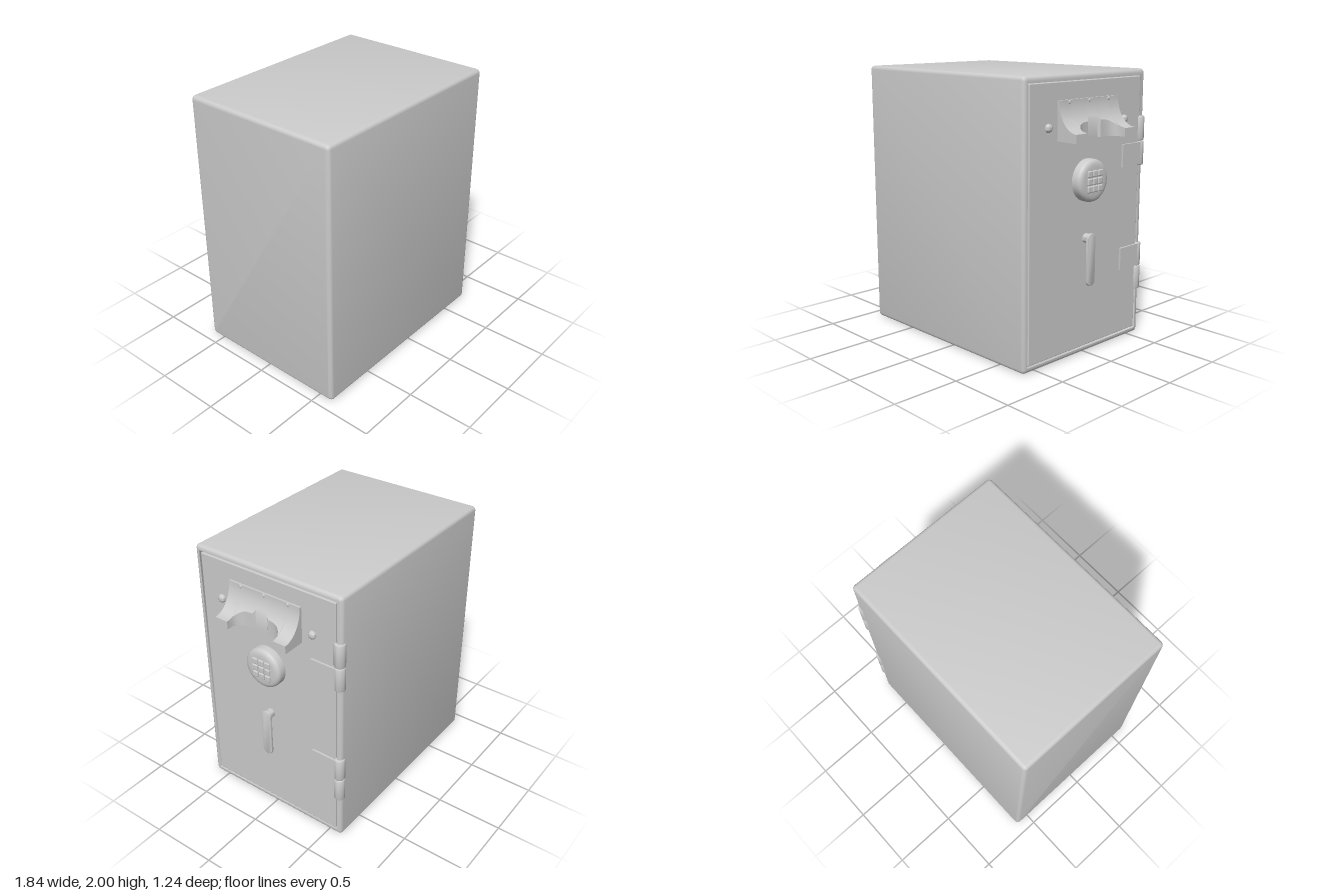
import * as THREE from 'three';
import { toCreasedNormals } from 'three/addons/utils/BufferGeometryUtils.js';
import { RoundedBoxGeometry } from 'three/addons/geometries/RoundedBoxGeometry.js';

const V = (x, y, z) => new THREE.Vector3(x, y, z);
const FACE = 0.75; // x of the door face
const MID = 0.01;  // z of the door's middle line

// Skin over matching closed cross-sections, capped at both ends
function loft(sections, crease = 0.6) {
  const n = sections[0].length, index = [], last = (sections.length - 1) * n;
  for (let s = 0; s < sections.length - 1; s++) {
    for (let i = 0; i < n; i++) {
      const a = s * n + i, b = s * n + (i + 1) % n;
      index.push(a, b, b + n, a, b + n, a + n);
    }
  }
  for (let i = 1; i < n - 1; i++) {
    index.push(0, i + 1, i);
    index.push(last, last + i, last + i + 1);
  }
  const g = new THREE.BufferGeometry().setFromPoints(sections.flat());
  g.setIndex(index);
  return toCreasedNormals(g.toNonIndexed(), crease);
}

// Rounded rectangle across x, shrunk by an inset
function ring(x, inset, r) {
  const pts = [], hy = 1 - inset, hz = 0.615 - inset;
  [[1, 1], [-1, 1], [-1, -1], [1, -1]].forEach(([sy, sz], q) => {
    for (let k = 0; k <= 4; k++) {
      const a = (q + k / 4) * Math.PI / 2;
      pts.push(V(x, 1 + sy * (hy - r) + r * Math.cos(a), 0.005 + sz * (hz - r) + r * Math.sin(a)));
    }
  });
  return pts;
}

// Lathe turned so that its axis points along +x; profile is [radius, x]
function turned(profile, segments = 32) {
  const g = new THREE.LatheGeometry(profile.map(([r, h]) => new THREE.Vector2(r, h)), segments);
  g.rotateZ(-Math.PI / 2);
  return toCreasedNormals(g, 0.7);
}

export function createModel() {
  const model = new THREE.Group();
  const material = new THREE.MeshStandardMaterial({ color: 0xcccccc });
  const add = (name, geometry, x = 0, y = 0, z = 0) => {
    const mesh = new THREE.Mesh(geometry, material);
    mesh.name = name;
    mesh.position.set(x, y, z);
    model.add(mesh);
    return mesh;
  };

  // Cabinet: rounded edges, with a recess for the door
  const R = 0.028, body = [];
  for (let k = 0; k <= 4; k++) {
    const a = k / 4 * Math.PI / 2;
    body.push(ring(-0.92 + R * (1 - Math.cos(a)), R * (1 - Math.sin(a)), 0.008 + 0.02 * Math.sin(a)));
  }
  for (let k = 4; k >= 0; k--) {
    const a = k / 4 * Math.PI / 2;
    body.push(ring(FACE - R * (1 - Math.cos(a)), R * (1 - Math.sin(a)), 0.008 + 0.02 * Math.sin(a)));
  }
  body.push(ring(FACE, 0.038, 0.005), ring(FACE - 0.03, 0.038, 0.005));
  add('cabinet', loft(body));

  // Door slab with a thin gap around it
  add('door', new RoundedBoxGeometry(0.06, 1.9, 1.13, 2, 0.006), FACE - 0.03, 1, 0.005);

  // Shelf bracket: concave top, open cut-out in the front edge
  const topY = x => 1.83 - 0.21 * Math.sqrt(Math.max(0, 1 - ((0.92 - x) / 0.155) ** 2));
  const bracketSection = (z, h) => {
    const pts = [V(FACE, 1.56, z), V(h, 1.56, z)];
    for (let i = 0; i <= 16; i++) {
      const x = h + (0.765 - h) * (1 - (1 - i / 16) ** 2);
      pts.push(V(x, topY(x), z));
    }
    pts.push(V(FACE, 1.83, z));
    return pts;
  };
  const half = [[0.3, 0.92], [0.195, 0.92], [0.194, 0.87], [0.18, 0.845], [0.155, 0.825],
    [0.12, 0.815], [0.065, 0.812], [0.05, 0.797]];
  const cut = [...half.map(([z, h]) => [-z, h]), ...half.slice().reverse()];
  add('shelfBracket', loft(cut.map(([z, h]) => bracketSection(z + MID, h)), 0.5));

  // Bracket screws and the two door bolts
  const dome = r => turned([[r, 0], [r, r * 0.3], [r * 0.8, r * 0.65], [r * 0.45, r * 0.85], [0, r * 0.9]], 20);
  for (const s of [-1, 0, 1]) add('bracketScrew', dome(0.014), 0.76, 1.815, MID + s * 0.2);
  for (const s of [-1, 1]) add('doorBolt', dome(0.03), FACE, 1.655, MID + s * 0.388);

  // Round keypad with nine keys
  add('keypadHousing', turned([[0.15, 0], [0.15, 0.045], [0.146, 0.058], [0.136, 0.068],
    [0.12, 0.074], [0.1, 0.076], [0, 0.076]], 48), FACE, 1.265, MID);
  for (let r = -1; r <= 1; r++) {
    for (let c = -1; c <= 1; c++) {
      add('key', new RoundedBoxGeometry(0.03, 0.046, 0.046, 2, 0.008),
        FACE + 0.072, 1.265 + r * 0.053, MID + c * 0.053);
    }
  }

  // Lever handle hanging from its shaft
  const lever = new THREE.Shape();
  lever.absarc(0, 0, 0.036, 0, Math.PI);
  lever.absarc(0, -0.3, 0.036, Math.PI, Math.PI * 2);
  lever.closePath();
  const leverGeometry = new THREE.ExtrudeGeometry(lever, {
    depth: 0.01, bevelThickness: 0.005, bevelSize: 0.005, bevelSegments: 2, curveSegments: 16,
  });
  leverGeometry.rotateY(Math.PI / 2);
  add('handleLever', toCreasedNormals(leverGeometry, 0.6), 0.795, 0.85, MID);
  add('handleShaft', turned([[0.034, 0], [0.034, 0.045]], 24), FACE, 0.85, MID);

  // Hinges: two knuckles each, one carrying the door leaf
  const e = 0.01, r = 0.04;
  const knuckle = h => toCreasedNormals(new THREE.LatheGeometry(
    [[0, -h], [r - e, -h], [r - e * 0.3, -h + e * 0.3], [r, -h + e], [r, h - e],
      [r - e * 0.3, h - e * 0.3], [r - e, h], [0, h]].map(p => new THREE.Vector2(...p)), 24), 0.6);
  for (const [middle, side] of [[1.48, -1], [0.53, 1]]) {
    for (const s of [-1, 1]) add('hingeKnuckle', knuckle(0.09), 0.73, middle + s * 0.091, -0.58);
    add('hingeLeaf', new THREE.BoxGeometry(0.02, 0.165, 0.21), FACE + 0.006, middle + side * 0.091, -0.47);
  }
  return model;
}
